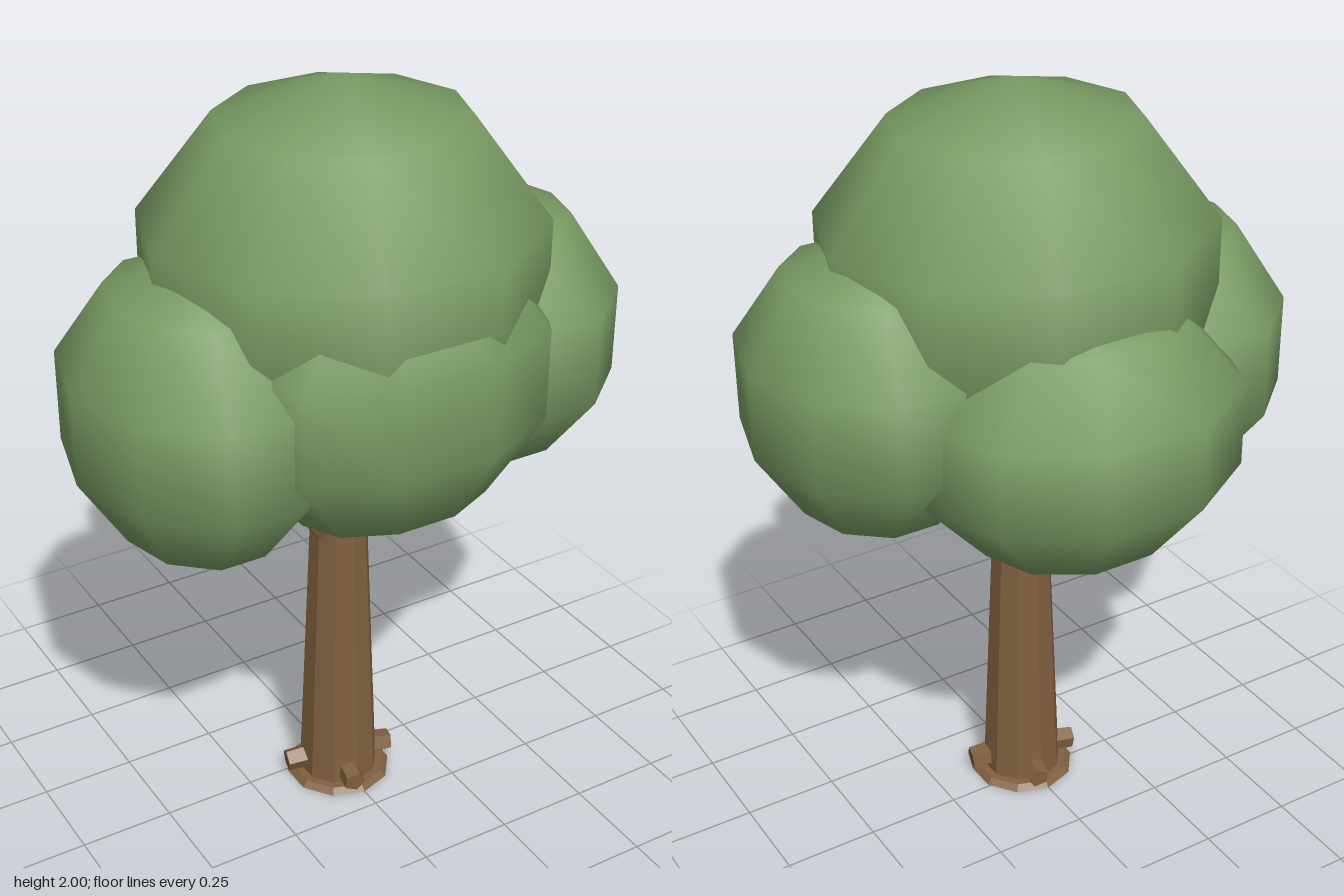
import * as THREE from 'three';

const UP = new THREE.Vector3(0, 1, 0);

// Tapered round limb between two points
function limb(name, from, to, rFrom, rTo, sides, material) {
  const a = new THREE.Vector3(...from);
  const b = new THREE.Vector3(...to);
  const dir = b.clone().sub(a);
  const mesh = new THREE.Mesh(new THREE.CylinderGeometry(rTo, rFrom, dir.length(), sides), material);
  mesh.name = name;
  mesh.position.copy(a).add(b).multiplyScalar(0.5);
  mesh.quaternion.setFromUnitVectors(UP, dir.normalize());
  return mesh;
}

export function createModel() {
  const tree = new THREE.Group();
  tree.name = 'tree';

  const bark = new THREE.MeshStandardMaterial({ color: 0x80603f, flatShading: true });
  bark.name = 'bark brown';
  const leaf = new THREE.MeshStandardMaterial({ color: 0x789a63 });
  leaf.name = 'leaf green';

  const axisZ = 0.05;

  // Trunk and its flared foot
  tree.add(limb('trunk', [0, 0.005, axisZ], [0, 1.25, axisZ], 0.108, 0.058, 10, bark));
  tree.add(limb('trunkBase', [0, 0, axisZ], [0, 0.016, axisZ], 0.143, 0.128, 10, bark));

  // Four stubby roots around the foot
  const roots = new THREE.Group();
  roots.name = 'roots';
  for (let i = 0; i < 4; i++) {
    const angle = 0.22 + (i * Math.PI) / 2;
    const c = Math.cos(angle), s = Math.sin(angle);
    roots.add(limb('root', [c * 0.05, 0.055, axisZ + s * 0.05],
      [c * 0.148, 0.047, axisZ + s * 0.148], 0.034, 0.03, 5, bark));
  }
  tree.add(roots);

  // Branches reaching into the side clumps
  tree.add(limb('leftBranch', [0, 0.70, 0.06], [0.33, 1.21, 0.07], 0.042, 0.034, 6, bark));
  tree.add(limb('rightBranch', [0, 0.73, 0.06], [-0.32, 1.2, 0.065], 0.04, 0.033, 6, bark));

  // Foliage clumps: name, centre, radii
  const clumps = [
    ['topFoliage', [0, 1.5, 0.065], [0.529, 0.5, 0.503]],
    ['leftFoliage', [0.405, 1.294, 0.085], [0.328, 0.37, 0.387]],
    ['rightFoliage', [-0.408, 1.247, 0.065], [0.328, 0.382, 0.409]],
    ['frontFoliage', [0, 1.315, 0.308], [0.435, 0.387, 0.268]],
    ['backFoliage', [0, 1.21, -0.215], [0.445, 0.357, 0.375]],
  ];
  for (const [name, centre, radii] of clumps) {
    const clump = new THREE.Mesh(new THREE.SphereGeometry(1, 10, 5), leaf);
    clump.name = name;
    clump.position.set(...centre);
    clump.scale.set(...radii);
    tree.add(clump);
  }

  return tree;
}
